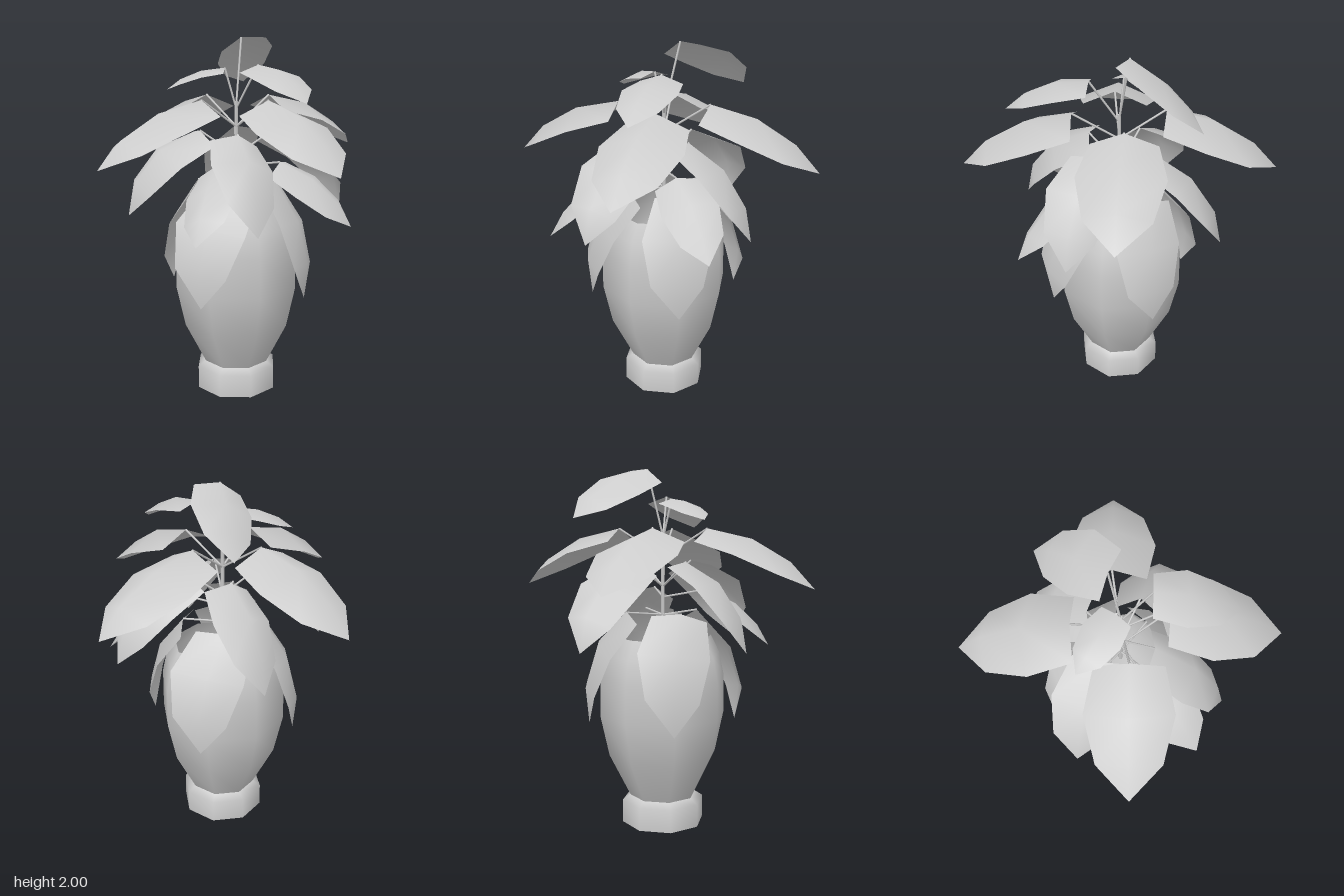
import * as THREE from 'three';

const material = new THREE.MeshStandardMaterial({ color: 0xcccccc, side: THREE.DoubleSide });
const V = (p) => new THREE.Vector3(...p);
const UP = new THREE.Vector3(0, 1, 0);

function addMesh(parent, name, geometry) {
  const mesh = new THREE.Mesh(geometry, material);
  mesh.name = name;
  parent.add(mesh);
}

// Eight-sided turned shape from [radius, height] pairs
function turned(points) {
  return new THREE.LatheGeometry(points.map(([r, y]) => new THREE.Vector2(r, y)), 8);
}

// Thin rod between two points
function rod(from, to, radius) {
  const d = to.clone().sub(from);
  const geometry = new THREE.CylinderGeometry(radius, radius, d.length(), 5);
  geometry.applyQuaternion(new THREE.Quaternion().setFromUnitVectors(UP, d.clone().normalize()));
  const mid = from.clone().lerp(to, 0.5);
  return geometry.translate(mid.x, mid.y, mid.z);
}

// Cambered blade: three cross-sections of three points, then a tip
function blade({ base, tip, width, bulge, camber, roll }) {
  const B = V(base), T = V(tip);
  const d = T.clone().sub(B).normalize();
  const side = d.clone().cross(UP).normalize().applyAxisAngle(d, roll);
  const normal = side.clone().cross(d);
  const lift = d.clone().cross(UP).normalize().cross(d);
  const rows = [[0, 0.78, 0], [0.37, 1, 1], [0.73, 0.74, 0.9]];
  const positions = [], index = [];
  rows.forEach(([t, w, rise], i) => {
    for (const j of [-1, 0, 1]) {
      const p = B.clone().lerp(T, t).addScaledVector(lift, bulge * rise);
      if (j) {
        p.addScaledVector(side, j * w * width / 2);
        p.addScaledVector(normal, -camber * w * width);
        if (i === 0) p.addScaledVector(d, 0.05 * width);
      }
      positions.push(...p.toArray());
    }
  });
  positions.push(...tip);
  for (let i = 0; i < 3; i++) {
    for (let j = 0; j < 2; j++) {
      const a = 3 * i + j;
      if (i < 2) index.push(a, a + 1, a + 4, a, a + 4, a + 3);
      else index.push(a, a + 1, 9);
    }
  }
  const geometry = new THREE.BufferGeometry();
  geometry.setAttribute('position', new THREE.Float32BufferAttribute(positions, 3));
  geometry.setIndex(index);
  geometry.computeVertexNormals();
  return geometry;
}

// A whorl repeats one leaf at the given quarter turns about the stalk
const whorls = [
  { name: 'upperLeaf', base: [0.23, 1.68, 0.1], tip: [0.73, 1.36, 0.43], width: 0.45, bulge: 0.07, camber: 0.2, roll: 0, from: 1.52, turns: [0, 1, 2, 3] },
  { name: 'middleLeaf', base: [0.09, 1.5, 0.18], tip: [0.34, 1.04, 0.5], width: 0.36, bulge: 0.1, camber: 0.2, roll: -0.28, from: 1.36, turns: [0, 1, 2, 3] },
  { name: 'hangingLeaf', base: [0.06, 1.22, 0.21], tip: [-0.02, 0.59, 0.42], width: 0.4, bulge: 0.095, camber: 0.1, roll: -0.42, from: 1.2, turns: [0, 1, 2, 3] },
  { name: 'lowerLeaf', base: [0, 1.34, 0.26], tip: [0.07, 1.0, 0.65], width: 0.31, bulge: 0.05, camber: 0.2, roll: 0.28, from: 1.3, turns: [0, 1] },
  { name: 'smallCrownLeaf', base: [-0.05, 1.84, 0.04], tip: [-0.35, 1.72, 0.15], width: 0.22, bulge: 0.03, camber: 0.15, roll: 0, from: 1.62, turns: [0] },
  { name: 'crownLeaf', base: [0.15, 1.86, 0.05], tip: [0.51, 1.69, 0.3], width: 0.3, bulge: 0.05, camber: 0.15, roll: 0, from: 1.62, turns: [0] },
  { name: 'topLeaf', base: [-0.01, 2.0, -0.09], tip: [-0.18, 1.73, -0.51], width: 0.33, bulge: 0.045, camber: 0.15, roll: -0.35, from: 1.64, turns: [0] },
];

export function createModel() {
  const model = new THREE.Group();
  model.name = 'pottedPlant';

  // Hollow vase on an open foot ring
  addMesh(model, 'vaseBody', turned([
    [0.19, 0.16], [0.31, 0.4], [0.36, 0.63], [0.358, 0.85], [0.33, 0.98], [0.28, 1.08],
  ]));
  addMesh(model, 'footRing', turned([[0.235, 0], [0.235, 0.13], [0.19, 0.16]]));

  // Central stalk
  addMesh(model, 'stalk', rod(V([0, 1.1, 0]), V([0, 1.66, 0]), 0.011));

  // Leaves, each with its stem
  for (const whorl of whorls) {
    for (const turn of whorl.turns) {
      const leaf = new THREE.Group();
      leaf.name = whorl.name;
      leaf.rotation.y = turn * Math.PI / 2;
      addMesh(leaf, 'blade', blade(whorl));
      addMesh(leaf, 'stem', rod(V([0, whorl.from, 0]), V(whorl.base), 0.006));
      model.add(leaf);
    }
  }
  return model;
}
